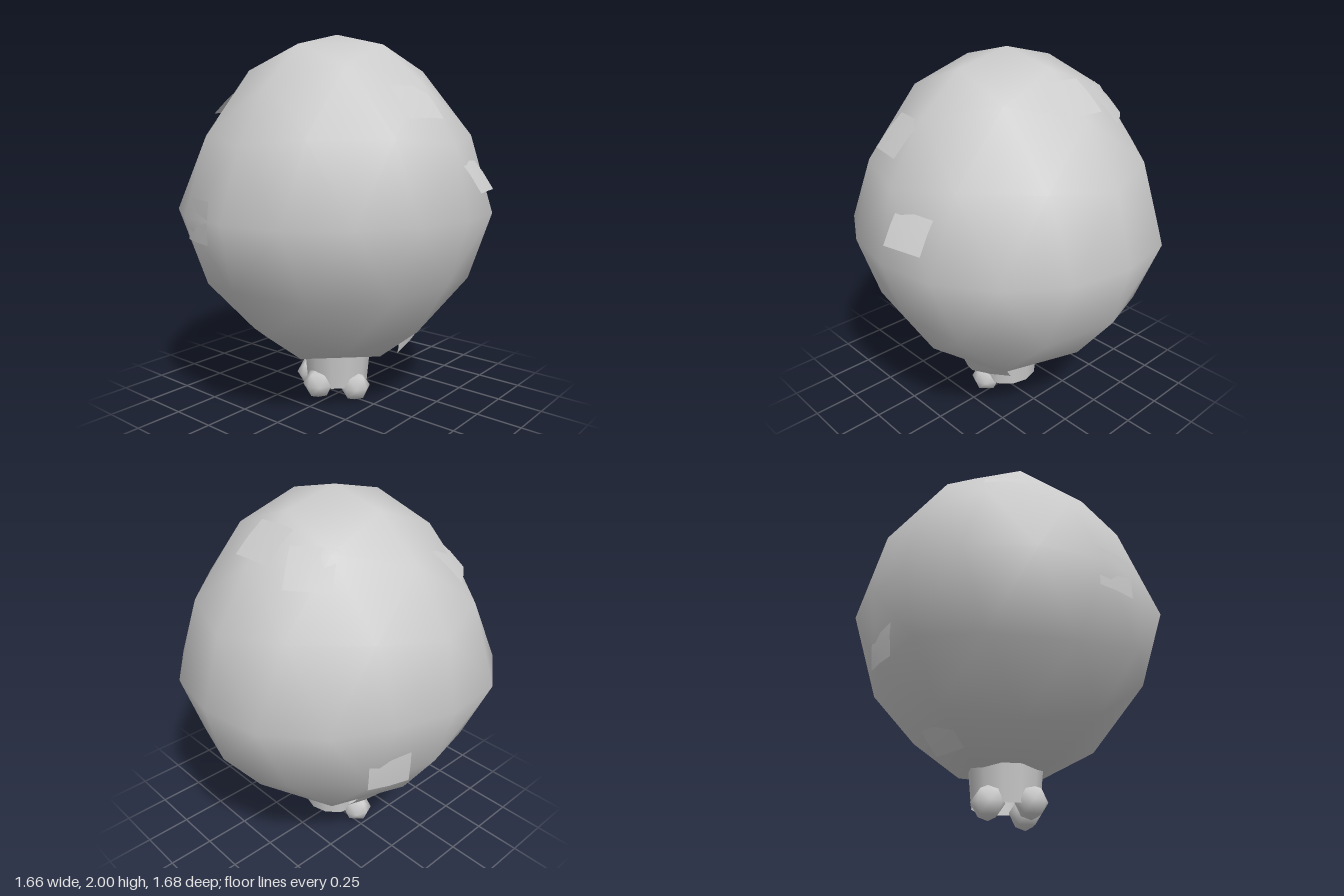
import * as THREE from 'three';
import { mergeVertices } from 'three/addons/utils/BufferGeometryUtils.js';

const CENTER = new THREE.Vector3(-0.015, 1.08, 0);
const RADIUS = 0.82;

// soft lumps and dents of the body: direction, then share of the radius
const LUMPS = [
  [-0.85, 0, 0.5, 0.065], [0.57, 0, 0.82, 0.04], [-0.38, 0, 0.92, 0.03],
  [0.38, 0, -0.92, 0.025], [-0.38, 0, -0.92, 0.04], [-0.92, 0, -0.38, -0.04],
  [0.92, 0, -0.38, 0.025], [-0.92, 0.38, 0, 0.025], [0.92, -0.38, 0, -0.03],
  [0, -0.38, 0.92, 0.045], [0, -0.38, -0.92, 0.035], [0, 0.6, 0.8, -0.05],
  [0.5, -0.6, -0.6, 0.04],
].map(([x, y, z, amount]) => ({ dir: new THREE.Vector3(x, y, z).normalize(), amount }));

const material = new THREE.MeshStandardMaterial({ color: 0xcccccc });
const thin = new THREE.MeshStandardMaterial({ color: 0xcccccc, side: THREE.DoubleSide });

// unit ball split from an octahedron with even angles along its edges;
// shape(v) moves each unit vertex to its place
function octaBall(detail, shape) {
  let geo = new THREE.OctahedronGeometry(1, detail);
  geo.deleteAttribute('uv');
  geo.deleteAttribute('normal');
  const p = geo.attributes.position;
  const v = new THREE.Vector3();
  const even = (c, sum) => Math.sin((c / sum) * Math.PI / 2);
  for (let i = 0; i < p.count; i++) {
    v.fromBufferAttribute(p, i);
    const sum = Math.abs(v.x) + Math.abs(v.y) + Math.abs(v.z);
    v.set(even(v.x, sum), even(v.y, sum), even(v.z, sum)).normalize();
    shape(v);
    p.setXYZ(i, v.x, v.y, v.z);
  }
  geo = mergeVertices(geo, 1e-4);
  geo.computeVertexNormals();
  return geo;
}

// taller above the middle, drawn in at the shoulders, slightly uneven
function shapeBody(v) {
  const yy = v.y * v.y;
  let r = 1 - 0.26 * yy * (1 - yy);
  for (const { dir, amount } of LUMPS) r += amount * Math.max(0, v.dot(dir)) ** 16;
  r *= RADIUS;
  v.set(v.x * r, v.y * (v.y > 0 ? 0.92 : 0.86), v.z * r).add(CENTER);
}

// thin square laid on the body, bent around it, lower edge lifted off
function makePatch(body, [x, y, z, tilt, lift]) {
  const geo = new THREE.PlaneGeometry(0.22, 0.21, 2, 2);
  const p = geo.attributes.position;
  for (let i = 0; i < p.count; i++) {
    p.setZ(i, -0.5 * (p.getX(i) ** 2 + p.getY(i) ** 2));
  }
  geo.computeVertexNormals();

  const out = new THREE.Vector3(x, y, z).sub(CENTER).normalize();
  const start = CENTER.clone().addScaledVector(out, 3);
  const [hit] = new THREE.Raycaster(start, out.clone().negate()).intersectObject(body);
  // slope of the surface, turned straight away from the axis
  const slope = hit.face.normal.y;
  const normal = out.setY(0).setLength(Math.sqrt(1 - slope * slope)).setY(slope);

  const patch = new THREE.Mesh(geo, thin);
  patch.position.copy(hit.point).addScaledVector(normal, lift);
  patch.lookAt(patch.position.clone().add(normal));
  patch.rotateX(-tilt);
  patch.name = 'patch';
  return patch;
}

export function createModel() {
  const model = new THREE.Group();
  model.name = 'patchedBall';

  // faceted round body
  const body = new THREE.Mesh(octaBall(3, shapeBody), material);
  body.name = 'body';
  model.add(body);

  // open neck under the body
  const neck = new THREE.Mesh(
    new THREE.CylinderGeometry(0.192, 0.172, 0.21, 12, 1, true), thin);
  neck.position.set(CENTER.x, 0.195, 0);
  neck.name = 'neck';
  model.add(neck);

  // three small balls around the neck rim
  const ballGeo = octaBall(1, (v) => v.multiplyScalar(0.085));
  for (const [x, y, z] of [[-0.19, 0.09, 0.02], [-0.02, 0.105, 0.155], [0.13, 0.087, 0.02]]) {
    const ball = new THREE.Mesh(ballGeo, material);
    ball.position.set(x, y, z);
    ball.name = 'foot';
    model.add(ball);
  }

  // patches scattered over the body: x, y, z, tilt and lift
  const patches = new THREE.Group();
  patches.name = 'patches';
  const places = [
    [-0.24, 1.07, 0.8, 0.25, -0.005], [0.56, 1.63, 0.12, 0.2, 0.025],
    [0.76, 1.3, -0.17, 0.3, 0.025], [-0.02, 1.84, -0.46, 0.05, 0.014],
    [-0.31, 1.78, -0.43, 0.05, 0.014], [-0.48, 1.66, 0.33, 0.1, 0.005],
    [0.33, 0.38, -0.22, 0.2, 0.014], [-0.42, 0.4, -0.1, 0.2, 0.01],
    [-0.69, 0.81, -0.27, 0.2, 0.014],
  ];
  for (const place of places) patches.add(makePatch(body, place));
  model.add(patches);

  return model;
}
